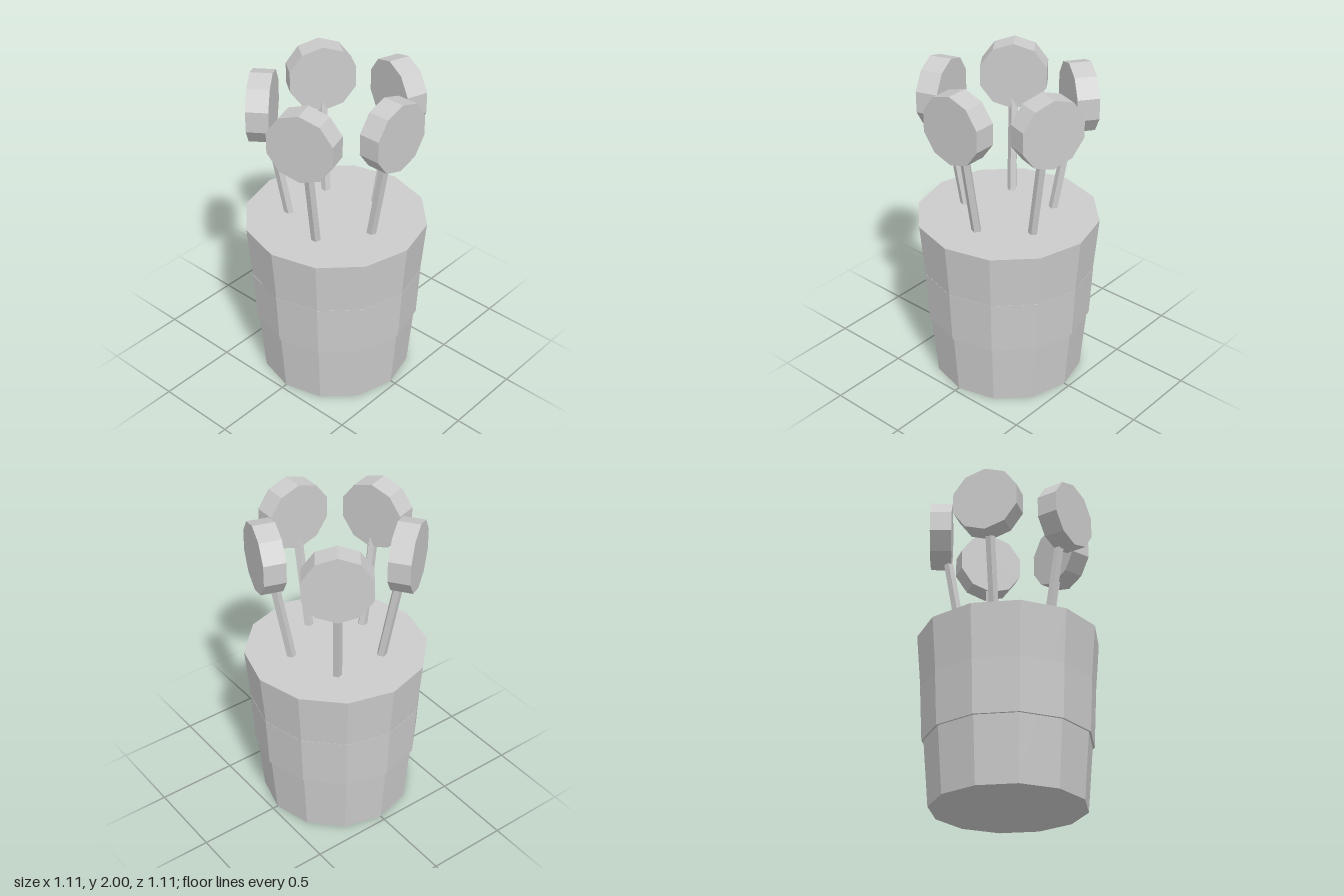
import * as THREE from 'three';

export function createModel() {
  const model = new THREE.Group();
  const material = new THREE.MeshStandardMaterial({ color: 0xcccccc, flatShading: true });
  const add = (name, geometry, parent = model) => {
    const mesh = new THREE.Mesh(geometry, material);
    mesh.name = name;
    parent.add(mesh);
    return mesh;
  };

  // Tapered twelve-sided pot, closed at the top
  const potHeight = 1.065;
  add('pot', new THREE.CylinderGeometry(0.555, 0.465, potHeight, 12)).position.y = potHeight / 2;

  // Band around the middle, flush at its top and proud at its bottom
  add('band', new THREE.CylinderGeometry(0.528, 0.511, 0.33, 12)).position.y = 0.565;

  // Five discs on sticks leaning outwards
  const up = new THREE.Vector3(0, 1, 0);
  for (let i = 0; i < 5; i++) {
    const angle = (i * Math.PI * 2) / 5;
    const at = (r, y) => new THREE.Vector3(r * Math.cos(angle), y, -r * Math.sin(angle));
    const pop = new THREE.Group();
    pop.name = 'pop' + (i + 1);
    model.add(pop);

    // Five-sided stick, all with the same edge turned to the back
    const foot = at(0.272, 1.0), tip = at(0.402, 1.75);
    const stick = add('stick',
      new THREE.CylinderGeometry(0.03, 0.03, foot.distanceTo(tip), 5, 1, false, Math.PI), pop);
    stick.position.copy(foot).lerp(tip, 0.5);
    stick.quaternion.setFromUnitVectors(up, tip.clone().sub(foot).normalize());

    // Ten-sided disc facing outwards with a corner at the top
    const disc = add('disc',
      new THREE.CylinderGeometry(0.21, 0.21, 0.132, 10, 1, false, Math.PI / 2).rotateZ(Math.PI / 2), pop);
    disc.position.copy(at(0.422, 1.79));
    disc.rotation.y = angle;
  }
  return model;
}
